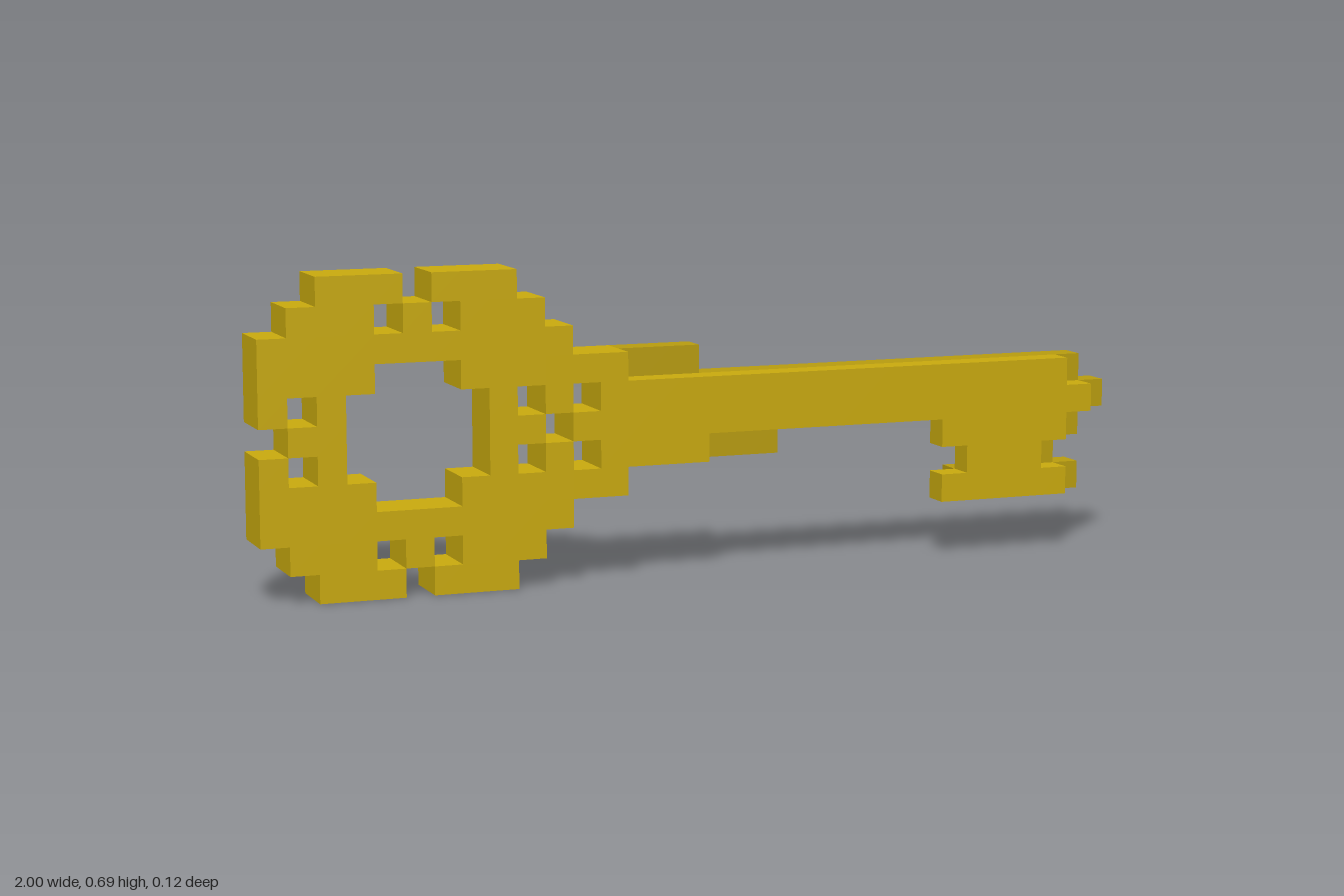
import * as THREE from 'three';
import { mergeGeometries } from 'three/addons/utils/BufferGeometryUtils.js';

const U = 0.0625; // size of one cube; the grid is 32 x 11 x 2

const gold = new THREE.MeshStandardMaterial({ color: 0xc9aa0e });
gold.name = 'gold';
const darkGold = new THREE.MeshStandardMaterial({ color: 0xb89c0f });
darkGold.name = 'dark gold';

// Outward face directions with the turns that aim a plane along them
const SIDES = [
  [1, 0, 0, 'rotateY', Math.PI / 2],
  [-1, 0, 0, 'rotateY', -Math.PI / 2],
  [0, 1, 0, 'rotateX', -Math.PI / 2],
  [0, -1, 0, 'rotateX', Math.PI / 2],
  [0, 0, 1, 'rotateY', 0],
  [0, 0, -1, 'rotateY', Math.PI],
];

// Skin a set of cubes, keeping only the exposed faces.
// spans: [row, firstColumn, lastColumn]; layers: 0 = back, 1 = front
function blocks(name, spans, layers, material) {
  const cells = new Map();
  for (const [row, a, b] of spans)
    for (let col = a; col <= b; col++)
      for (const k of layers) cells.set(`${col},${row},${k}`, [col, row, k]);

  const faces = [];
  for (const [c, r, k] of cells.values()) {
    for (const [dx, dy, dz, turn, angle] of SIDES) {
      if (cells.has(`${c + dx},${r + dy},${k + dz}`)) continue;
      const face = new THREE.PlaneGeometry(U, U);
      face[turn](angle);
      face.translate(
        (c - 15.5 + dx / 2) * U,
        (r + 0.5 + dy / 2) * U,
        (k - 0.5 + dz / 2) * U
      );
      faces.push(face);
    }
  }
  const mesh = new THREE.Mesh(mergeGeometries(faces), material);
  mesh.name = name;
  return mesh;
}

// Upper half of the round pierced handle, top row first, then the middle row
const BOW_HALF = [
  '..###.###....',
  '.###.#.###...',
  '###########..',
  '####...######',
  '#.#.....#.#.#',
  '.##.....##.##',
];

export function createModel() {
  const key = new THREE.Group();
  key.name = 'key';

  // Handle: mirrored about its middle row, two cubes deep
  const bow = [];
  BOW_HALF.forEach((line, i) => {
    for (let col = 0; col < line.length; col++)
      if (line[col] === '#') bow.push([10 - i, col, col], [i, col, col]);
  });
  key.add(blocks('bow', bow, [0, 1], gold));

  // Front layer of the shaft and teeth
  key.add(blocks('frontShaft', [[6, 13, 29], [5, 13, 30], [4, 13, 15]], [1], gold));
  key.add(blocks('frontTeeth', [[4, 25, 29], [3, 26, 28], [2, 25, 29]], [1], gold));

  // Darker back layer, shifted towards the tip
  key.add(blocks('backShaft', [[7, 13, 15], [6, 13, 30], [5, 13, 31], [4, 13, 18]], [0], darkGold));
  key.add(blocks('backTeeth', [[4, 26, 30], [3, 27, 29], [2, 26, 30]], [0], darkGold));

  return key;
}
